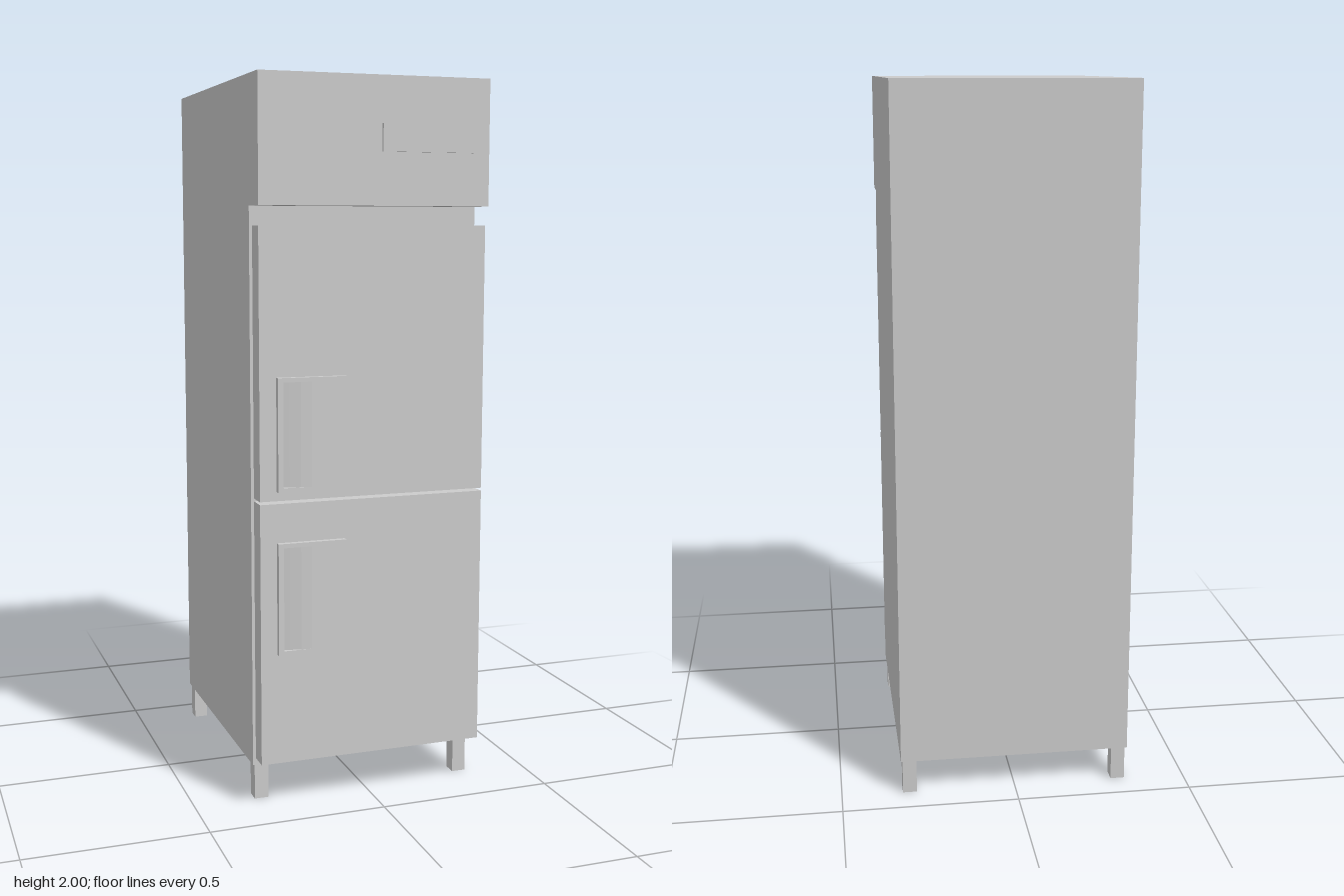
import * as THREE from 'three';

const material = new THREE.MeshStandardMaterial({ color: 0xcccccc });

function add(parent, name, geometry) {
  const mesh = new THREE.Mesh(geometry, material);
  mesh.name = name;
  parent.add(mesh);
  return mesh;
}

// Box given by its limits on each axis
function box(parent, name, [x0, x1], [y0, y1], [z0, z1]) {
  const mesh = add(parent, name, new THREE.BoxGeometry(x1 - x0, y1 - y0, z1 - z0));
  mesh.position.set((x0 + x1) / 2, (y0 + y1) / 2, (z0 + z1) / 2);
  return mesh;
}

function polygon(points) {
  return new THREE.Shape(points.map(([x, y]) => new THREE.Vector2(x, y)));
}

// Pull plate with a finger scoop: deep at the outer edge, ramping up to the face
function addHandle(parent, y0, y1) {
  const handle = new THREE.Group();
  handle.name = 'handle';
  const left = -0.28, right = -0.085, back = 0.405, front = 0.421, rim = 0.012;
  const section = polygon([
    [left, -back], [right, -back], [right, -front], [-0.185, -front],
    [-0.215, -0.418], [-0.245, -0.412], [-0.265, -0.407], [-0.265, -front], [left, -front],
  ]);
  const scoop = new THREE.ExtrudeGeometry(section, { depth: y1 - y0 - 2 * rim, bevelEnabled: false });
  scoop.rotateX(-Math.PI / 2).translate(0, y0 + rim, 0);
  add(handle, 'handleScoop', scoop);
  box(handle, 'handleBottomRim', [left, right], [y0, y0 + rim], [back, front]);
  box(handle, 'handleTopRim', [left, right], [y1 - rim, y1], [back, front]);
  parent.add(handle);
}

export function createModel() {
  const model = new THREE.Group();
  model.name = 'uprightCabinet';
  const halfWidth = 0.33, back = -0.425, front = 0.328, headFront = 0.417;
  const bottom = 0.1, floor = 0.17;

  // Cabinet with overhanging head, extruded from its side profile
  const profile = polygon([
    [back, floor], [front, floor], [front, 1.657], [headFront, 1.657], [headFront, 2], [back, 2],
  ]);
  const cabinet = new THREE.ExtrudeGeometry(profile, { depth: 2 * halfWidth, bevelEnabled: false });
  cabinet.rotateY(-Math.PI / 2).translate(halfWidth, 0, 0);
  add(model, 'cabinet', cabinet);

  // Skirt around the recessed underside
  const rim = 0.03;
  const ring = polygon([[-halfWidth, -front], [halfWidth, -front], [halfWidth, -back], [-halfWidth, -back]]);
  const inX = halfWidth - rim;
  ring.holes.push(polygon([
    [-inX, -front + rim], [-inX, -back - rim], [inX, -back - rim], [inX, -front + rim],
  ]));
  const skirt = new THREE.ExtrudeGeometry(ring, { depth: floor - bottom, bevelEnabled: false });
  skirt.rotateX(-Math.PI / 2).translate(0, bottom, 0);
  add(model, 'skirt', skirt);

  // Two doors, standing just clear of the cabinet
  box(model, 'lowerDoor', [-0.327, 0.327], [0.128, 0.86], [0.347, 0.405]);
  box(model, 'upperDoor', [-0.327, 0.327], [0.868, 1.605], [0.347, 0.405]);
  addHandle(model, 0.44, 0.752);
  addHandle(model, 0.893, 1.203);

  // Control panel on the head
  box(model, 'controlPanel', [0.016, 0.282], [1.8, 1.874], [headFront, 0.425]);

  // Four square legs
  for (const side of [-1, 1]) {
    for (const [z0, z1] of [[0.286, 0.327], [-0.418, -0.376]]) {
      const leg = box(model, 'leg', [-0.02, 0.02], [0, floor], [z0, z1]);
      leg.position.x = side * 0.305;
    }
  }
  return model;
}
